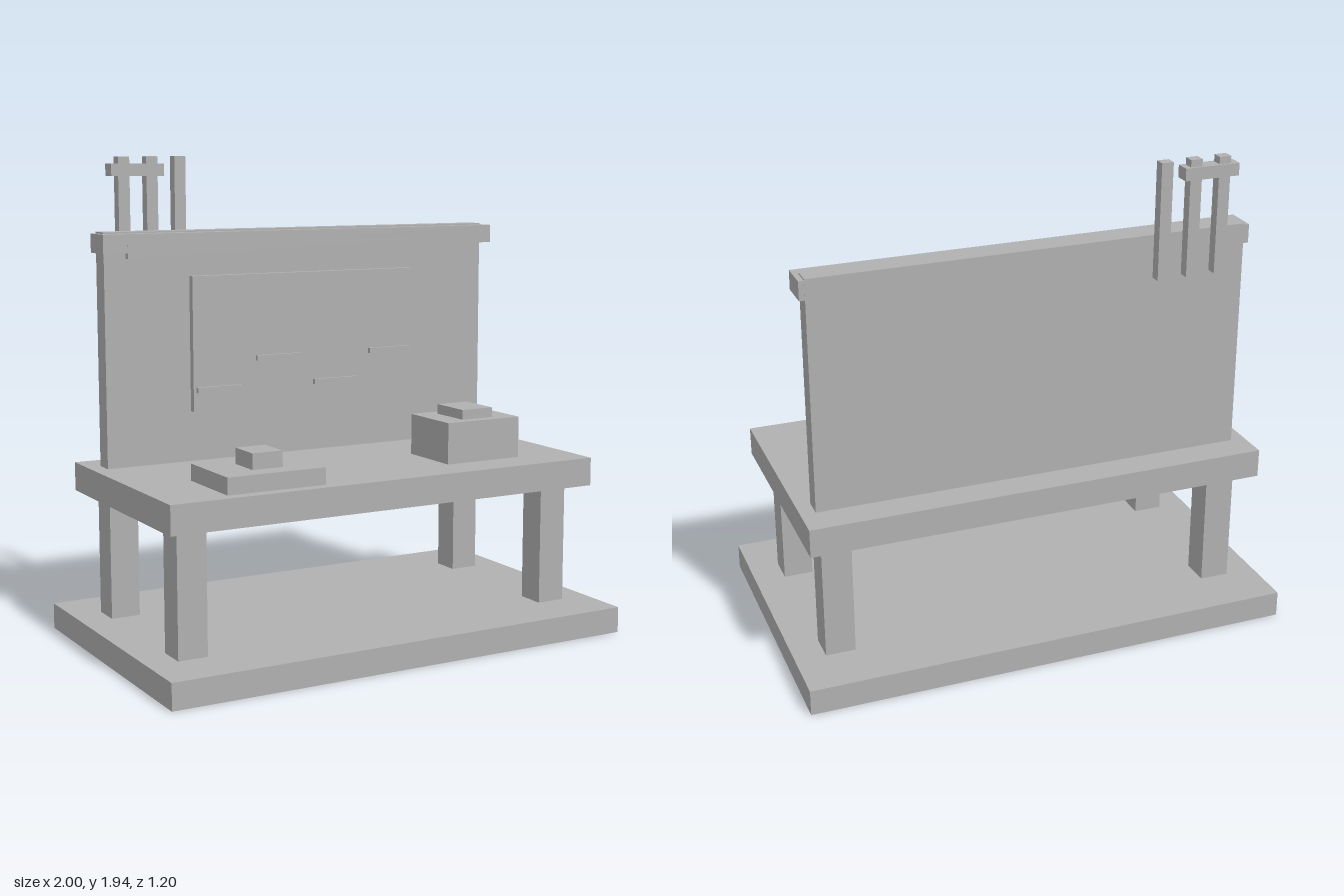
import * as THREE from 'three';

export function createModel() {
  const model = new THREE.Group();
  model.name = 'workbench';
  const grey = new THREE.MeshStandardMaterial({ color: 0xb0b0b0 });
  grey.name = 'plain grey';

  // Axis-aligned block given by its [min, max] range on each axis
  function block(name, [x0, x1], [y0, y1], [z0, z1]) {
    const mesh = new THREE.Mesh(new THREE.BoxGeometry(x1 - x0, y1 - y0, z1 - z0), grey);
    mesh.position.set((x0 + x1) / 2, (y0 + y1) / 2, (z0 + z1) / 2);
    mesh.name = name;
    model.add(mesh);
  }

  // Floor slab, four legs and table top
  block('base', [-1, 1], [0, 0.105], [-0.6, 0.6]);
  for (const x of [-0.817, 0.817])
    for (const z of [-0.323, 0.323])
      block('leg', [x - 0.06, x + 0.06], [0.105, 0.6], [z - 0.06, z + 0.06]);
  block('tableTop', [-0.94, 0.94], [0.6, 0.715], [-0.474, 0.474]);

  // Back wall, with a cap overhanging the front and a trim strip below it
  block('backWall', [-0.88, 0.88], [0.715, 1.648], [-0.346, -0.267]);
  block('wallCap', [-0.902, 0.902], [1.567, 1.642], [-0.345, -0.215]);
  block('capTrim', [-0.8, 0.8], [1.546, 1.6], [-0.238, -0.214]);

  // Notice board with four small ledges
  block('board', [-0.517, 0.517], [0.92, 1.467], [-0.267, -0.238]);
  for (const [x, y] of [[-0.404, 1.008], [-0.136, 1.123], [0.131, 1.008], [0.398, 1.123]])
    block('ledge', [x - 0.1, x + 0.1], [y - 0.011, y + 0.011], [-0.238, -0.223]);

  // Stepped blocks on the table
  block('lowBlock', [-0.69, -0.278], [0.715, 0.782], [0.107, 0.425]);
  block('lowBlockTop', [-0.545, -0.417], [0.782, 0.845], [0.195, 0.339]);
  block('tallBlock', [0.346, 0.69], [0.715, 0.883], [0.034, 0.312]);
  block('tallBlockTop', [0.444, 0.589], [0.883, 0.923], [0.081, 0.265]);

  // Posts behind the wall, two of them joined by a crossbar
  for (const x of [-0.757, -0.637, -0.516])
    block('post', [x - 0.024, x + 0.024], [1.475, 1.94], [-0.39, -0.346]);
  block('crossbar', [-0.813, -0.588], [1.863, 1.912], [-0.4, -0.338]);

  return model;
}
